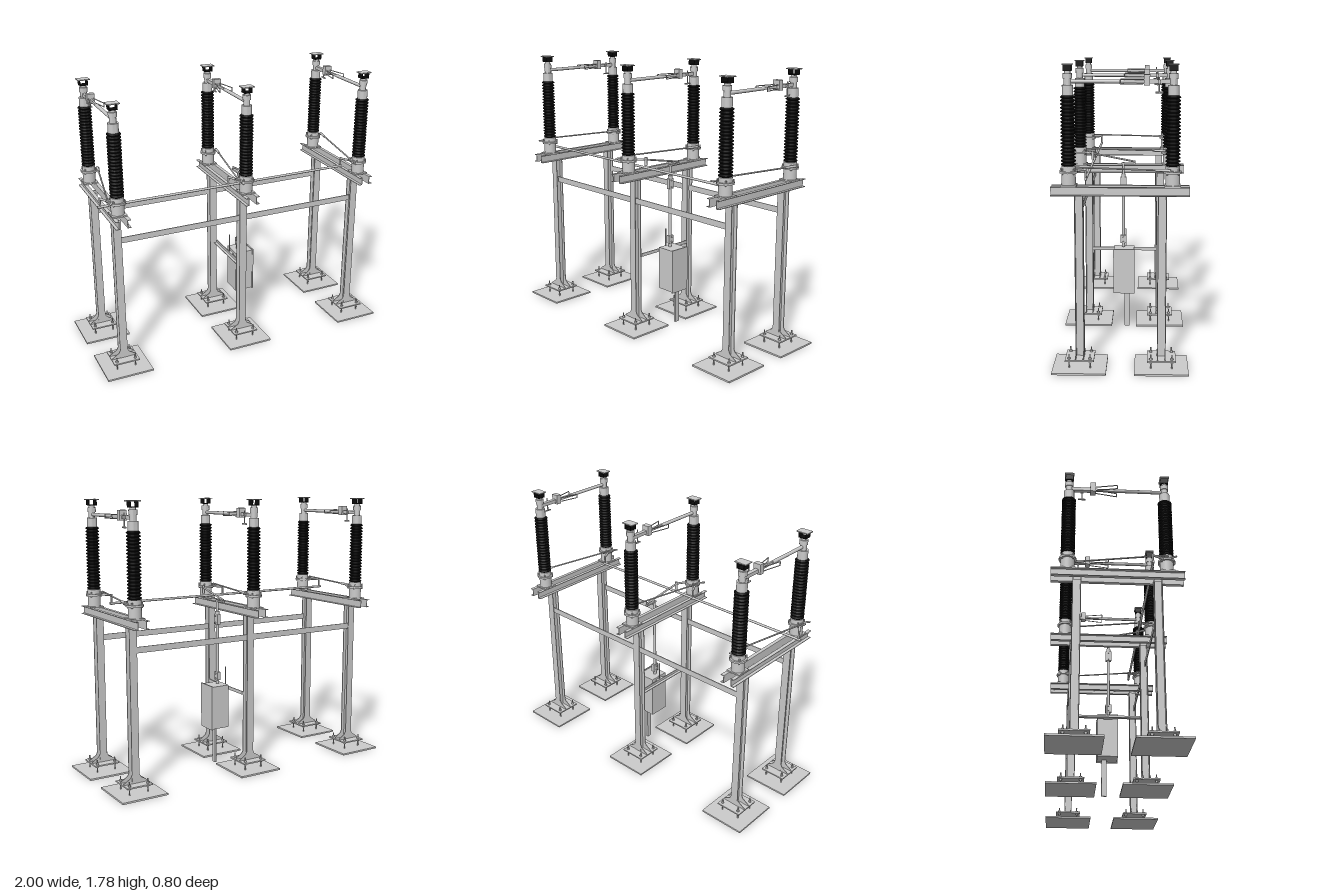
import * as THREE from 'three';
import { toCreasedNormals } from 'three/addons/utils/BufferGeometryUtils.js';

const grey = new THREE.MeshStandardMaterial({ color: 0xcccccc, side: THREE.DoubleSide });
const black = new THREE.MeshStandardMaterial({ color: 0x0c0c0c, side: THREE.DoubleSide });

function add(parent, name, geo, x = 0, y = 0, z = 0, mat = grey) {
  const m = new THREE.Mesh(geo, mat);
  m.name = name;
  m.position.set(x, y, z);
  parent.add(m);
  return m;
}
// box given by its min and max corners
function box(parent, name, a, b, mat) {
  const s = a.map((v, i) => b[i] - v);
  const c = a.map((v, i) => (b[i] + v) / 2);
  return add(parent, name, new THREE.BoxGeometry(...s), ...c, mat);
}
// upright cylinder from y0 to y1
function post(parent, name, r, y0, y1, x = 0, z = 0, sides = 24, mat = grey) {
  return add(parent, name, new THREE.CylinderGeometry(r, r, y1 - y0, sides), x, (y0 + y1) / 2, z, mat);
}
// round rod between two points
function rod(parent, name, a, b, r) {
  const p = new THREE.Vector3(...a), q = new THREE.Vector3(...b);
  const d = q.clone().sub(p);
  const m = add(parent, name, new THREE.CylinderGeometry(r, r, d.length(), 12));
  m.position.copy(p).add(q).multiplyScalar(0.5);
  m.quaternion.setFromUnitVectors(new THREE.Vector3(0, 1, 0), d.normalize());
  return m;
}
function polygon(points, depth) {
  const shape = new THREE.Shape(points.map(p => new THREE.Vector2(...p)));
  return new THREE.ExtrudeGeometry(shape, { depth, bevelEnabled: false });
}

// footing, base plate, anchor bolts, gussets and H column
function makeColumn() {
  const g = new THREE.Group();
  g.name = 'column';
  box(g, 'footing', [-0.152, 0, -0.158], [0.152, 0.011, 0.158]);
  box(g, 'basePlate', [-0.085, 0.055, -0.085], [0.085, 0.064, 0.085]);
  for (const sx of [-1, 1]) for (const sz of [-1, 1]) {
    const x = sx * 0.062, z = sz * 0.062;
    post(g, 'anchorBolt', 0.004, 0.01, 0.095, x, z, 8);
    post(g, 'anchorNut', 0.009, 0.064, 0.074, x, z, 6);
    post(g, 'levellingNut', 0.009, 0.045, 0.055, x, z, 6);
    const gusset = polygon([[0.025, 0.064], [0.08, 0.064], [0.08, 0.072], [0.035, 0.1], [0.025, 0.12]], 0.005);
    const m = add(g, 'gusset', gusset, 0, 0, sz * 0.0225 - 0.0025);
    if (sx < 0) { m.rotation.y = Math.PI; m.position.z += 0.005; }
  }
  for (const s of [-1, 1]) box(g, 'columnFlange', [-0.025, 0.064, s * 0.0235 - 0.0025], [0.025, 1.035, s * 0.0235 + 0.0025]);
  box(g, 'columnWeb', [-0.002, 0.064, -0.022], [0.002, 1.035, 0.022]);
  return g;
}

// ribbed insulator on its turning base, with cap and terminal bracket
function makePole() {
  const g = new THREE.Group();
  g.name = 'insulatorPole';
  box(g, 'mountingPlate', [-0.046, 1.085, -0.046], [0.046, 1.094, 0.046]);
  post(g, 'bearingHousing', 0.041, 1.094, 1.162);
  post(g, 'turntable', 0.053, 1.162, 1.174);
  post(g, 'insulatorFoot', 0.041, 1.174, 1.203);
  for (let i = 0; i < 4; i++) {
    const a = Math.PI * (i / 2 + 0.25);
    post(g, 'turntableBolt', 0.005, 1.155, 1.19, 0.047 * Math.cos(a), 0.047 * Math.sin(a), 6);
  }
  const sheds = 20, pitch = 0.402 / sheds;
  const profile = [new THREE.Vector2(0, 1.203)];
  for (let i = 0; i < sheds; i++) {
    const y = 1.203 + i * pitch;
    profile.push(new THREE.Vector2(0.033, y), new THREE.Vector2(0.043, y + pitch * 0.3),
      new THREE.Vector2(0.043, y + pitch * 0.5), new THREE.Vector2(0.033, y + pitch * 0.9));
  }
  profile.push(new THREE.Vector2(0, 1.605));
  add(g, 'insulatorSheds', toCreasedNormals(new THREE.LatheGeometry(profile, 28), 0.6), 0, 0, 0, black);
  const cap = [[0, 1.603], [0.032, 1.603], [0.032, 1.66], [0.021, 1.66], [0.021, 1.695], [0.026, 1.695],
    [0.026, 1.725], [0.018, 1.725], [0.018, 1.742], [0, 1.742]].map(p => new THREE.Vector2(...p));
  add(g, 'poleCap', toCreasedNormals(new THREE.LatheGeometry(cap, 24), 0.6));
  // open bracket carrying the terminal plate
  box(g, 'bracketFloor', [-0.024, 1.738, -0.024], [0.024, 1.743, 0.024], black);
  for (const s of [-1, 1]) box(g, 'bracketLeg', [s * 0.024 - 0.002, 1.738, -0.024], [s * 0.024 + 0.002, 1.773, 0.024], black);
  box(g, 'terminalPlate', [-0.039, 1.772, -0.029], [0.039, 1.778, 0.029]);
  return g;
}

// blade, contact jaw and guide horns between the two pole caps
function makeBlade() {
  const g = new THREE.Group();
  g.name = 'blade';
  rod(g, 'bladeTube', [0, 1.68, 0.3], [0, 1.68, -0.02], 0.011);
  box(g, 'bladeTip', [-0.006, 1.672, -0.15], [0.006, 1.688, -0.01]);
  box(g, 'contactBlock', [-0.024, 1.658, -0.166], [0.024, 1.72, -0.132]);
  box(g, 'contactBar', [-0.012, 1.668, -0.29], [0.012, 1.69, -0.166]);
  for (const s of [-1, 1]) {
    for (const y of [1.668, 1.692]) rod(g, 'guideHorn', [s * 0.014, y, -0.14], [s * 0.042, y, 0], 0.003);
    rod(g, 'hornTip', [s * 0.042, 1.668, 0], [s * 0.042, 1.692, 0], 0.003);
  }
  rod(g, 'earthContactStem', [0.018, 1.615, -0.217], [0.018, 1.705, -0.217], 0.004);
  rod(g, 'earthContactFoot', [0.018, 1.62, -0.195], [0.018, 1.62, -0.24], 0.005);
  box(g, 'earthContactClamp', [0, 1.67, -0.225], [0.023, 1.688, -0.208]);
  return g;
}

export function createModel() {
  const model = new THREE.Group();
  model.name = 'disconnectSwitch';

  // three identical phases
  for (const x of [-0.848, 0.004, 0.846]) {
    const phase = new THREE.Group();
    phase.name = 'phase';
    phase.position.x = x;
    model.add(phase);
    for (const s of [-1, 1]) {
      const column = makeColumn();
      column.position.z = s * 0.24;
      phase.add(column);
      const pole = makePole();
      pole.position.z = s * 0.297;
      phase.add(pole);
      // channel beam, open to the outside
      const c = [[0.025, 1.034], [0.048, 1.034], [0.048, 1.038], [0.029, 1.038],
        [0.029, 1.082], [0.048, 1.082], [0.048, 1.086], [0.025, 1.086]];
      const beam = add(phase, 'channelBeam', polygon(c, 0.795), 0, 0, -0.395);
      if (s < 0) { beam.rotation.y = Math.PI; beam.position.z = 0.4; }
    }
    phase.add(makeBlade());

    // crossed coupling rod and its levers
    box(phase, 'frontLever', [-0.066, 1.174, 0.275], [0, 1.182, 0.3]);
    box(phase, 'rearLever', [0, 1.174, -0.3], [0.066, 1.182, -0.275]);
    rod(phase, 'couplingRod', [-0.055, 1.185, 0.285], [0.055, 1.185, -0.285], 0.005);
    rod(phase, 'couplingSleeve', [0.0386, 1.185, -0.2], [0.055, 1.185, -0.285], 0.008);
    rod(phase, 'phaseLever', [-0.03, 1.168, 0.29], [-0.08, 1.168, 0.205], 0.007);
    rod(phase, 'stopArm', [-0.03, 1.175, 0.3], [-0.065, 1.175, 0.35], 0.006);
    post(phase, 'leverPin', 0.006, 1.105, 1.175, -0.08, 0.205, 10);
  }

  // braces and the rod linking the phases
  for (const z of [-0.258, 0.25]) box(model, 'crossBrace', [-0.825, 0.872, z - 0.003], [0.822, 0.91, z + 0.003]);
  rod(model, 'phaseRod', [-0.945, 1.115, 0.205], [0.778, 1.115, 0.205], 0.008);

  // drive cabinet with its support
  const drive = new THREE.Group();
  drive.name = 'drive';
  model.add(drive);
  box(drive, 'cabinet', [0.047, 0.245, -0.067], [0.177, 0.537, 0.067]);
  box(drive, 'cabinetDoor', [0.172, 0.24, -0.071], [0.181, 0.542, 0.071]);
  box(drive, 'cabinetRail', [0.029, 0.5, -0.215], [0.035, 0.522, 0.215]);
  box(drive, 'railLip', [0.01, 0.5, -0.215], [0.03, 0.505, 0.215]);
  box(drive, 'cabinetBracket', [0.035, 0.5, -0.03], [0.047, 0.522, 0.03]);
  box(drive, 'bracketStrip', [0.032, 0.5, -0.012], [0.037, 0.65, -0.004]);
  box(drive, 'cableDuct', [0.125, 0, -0.037], [0.137, 0.245, -0.002]);

  // vertical drive shaft with couplings
  const sx = 0.09, sz = 0.006;
  post(drive, 'driveShaft', 0.01, 0.54, 1.03, sx, sz);
  for (const [y0, y1] of [[0.565, 0.62], [0.945, 1.015]]) {
    box(drive, 'shaftCoupling', [sx - 0.012, y0, sz - 0.02], [sx + 0.012, y1, sz + 0.02]);
    for (const y of [y0 + 0.012, y1 - 0.012]) rod(drive, 'couplingBolt', [sx - 0.02, y, sz], [sx + 0.02, y, sz], 0.004);
  }
  post(drive, 'couplingNeck', 0.014, 1.015, 1.035, sx, sz);
  post(drive, 'shaftHead', 0.008, 1.03, 1.112, sx, sz);
  box(drive, 'crank', [sx - 0.008, 1.1, -0.075], [sx + 0.008, 1.11, sz + 0.012]);
  post(drive, 'crankPin', 0.006, 1.1, 1.125, sx, -0.068, 10);
  rod(drive, 'driveRod', [sx, 1.118, -0.068], [0.075, 1.17, 0.21], 0.006);
  rod(drive, 'driveLever', [0.075, 1.172, 0.21], [0.03, 1.172, 0.285], 0.007);
  post(drive, 'driveRodEye', 0.009, 1.13, 1.185, 0.075, 0.21, 12);
  return model;
}
